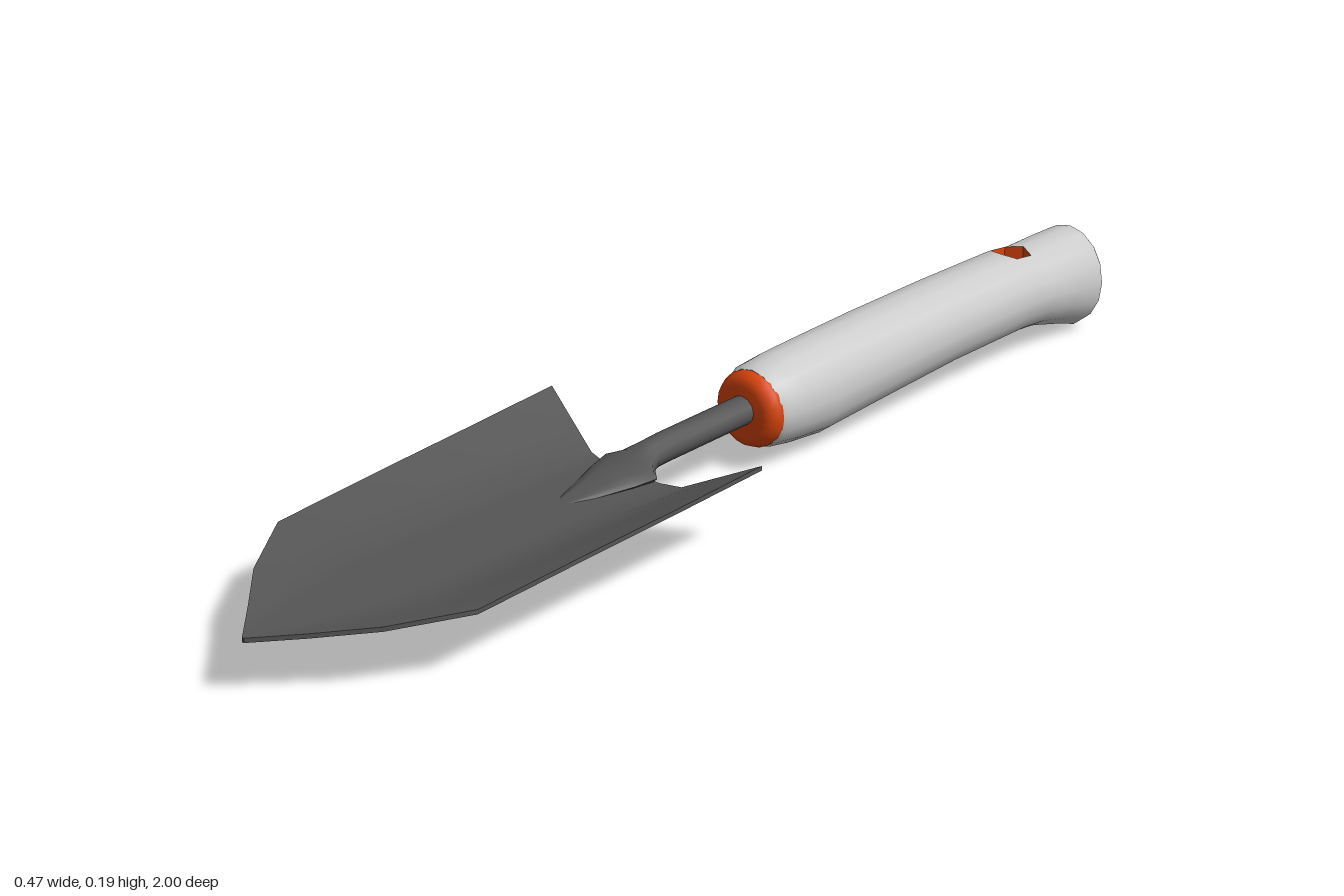
import * as THREE from 'three';
import { toCreasedNormals } from 'three/addons/utils/BufferGeometryUtils.js';

const grey = new THREE.MeshStandardMaterial({ color: 0xcccccc });
const steel = new THREE.MeshStandardMaterial({ color: 0x555555 });
const orange = new THREE.MeshStandardMaterial({ color: 0xd8440c });
const orangeLiner = new THREE.MeshStandardMaterial({ color: 0xd8440c, side: THREE.DoubleSide });

// Skins closed rings that run from back to front, each counterclockwise seen
// from the front. Faces that touch a vertex marked as open are left out.
function loft(rings, { caps = true, crease = 0.7, open = () => false } = {}) {
  const n = rings[0].length;
  const index = [];
  const quad = (corners) => {
    for (let k = 2; k < corners.length; k++) index.push(corners[0], corners[k - 1], corners[k]);
  };
  for (let i = 0; i < rings.length - 1; i++) {
    for (let j = 0; j < n; j++) {
      const j2 = (j + 1) % n;
      const corners = [[i, j], [i, j2], [i + 1, j2], [i + 1, j]]
        .filter(([r, c]) => !open(r, c)).map(([r, c]) => r * n + c);
      quad(corners);
    }
  }
  if (caps) {
    const last = (rings.length - 1) * n;
    for (let j = 0; j < n / 2 - 1; j++) {
      const q = [j, j + 1, n - 2 - j, n - 1 - j];
      quad(q.map((k) => last + k));
      quad([...q].reverse());
    }
  }
  const geometry = new THREE.BufferGeometry();
  geometry.setAttribute('position', new THREE.Float32BufferAttribute(rings.flat(2), 3));
  geometry.setIndex(index);
  return toCreasedNormals(geometry, crease);
}

// Elliptical ring from z, half width, top and bottom heights
function ellipse([z, w, top, bottom], sides = 16) {
  return Array.from({ length: sides }, (_, j) => {
    const a = (j / sides) * Math.PI * 2;
    return [w * Math.cos(a), (top + bottom) / 2 + ((top - bottom) / 2) * Math.sin(a), z];
  });
}

function part(name, geometry, material) {
  const mesh = new THREE.Mesh(geometry, material);
  mesh.name = name;
  return mesh;
}

// Grip with a six-sided hanging hole passing through it vertically
function createHandle() {
  const rings = [
    [-1.0, 0.07, 0.18, 0.012],
    [-0.992, 0.077, 0.187, 0.002],
    [-0.975, 0.078, 0.188, 0.0],
    [-0.92, 0.078, 0.188, 0.018],
    [-0.855, 0.078, 0.186, 0.036],
    [-0.84, 0.078, 0.187, 0.038],
    [-0.8, 0.078, 0.192, 0.041],
    [-0.785, 0.078, 0.193, 0.041],
    [-0.6, 0.078, 0.195, 0.039],
    [-0.42, 0.078, 0.194, 0.029],
    [-0.27, 0.075, 0.191, 0.018],
    [-0.19, 0.074, 0.188, 0.026],
    [-0.145, 0.072, 0.183, 0.034],
    [-0.13, 0.066, 0.176, 0.039],
  ].map((r) => ellipse(r));
  const first = 4; // ring at the back corner of the hole
  const open = (r, c) => (r === first + 1 || r === first + 2) && (c === 4 || c === 12);

  // Hexagon corners as ring and column offsets
  const hexagon = [[0, 0], [1, -1], [2, -1], [3, 0], [2, 1], [1, 1]];
  const upper = hexagon.map(([r, c]) => rings[first + r][4 + c]);
  const lower = hexagon.map(([r, c]) => rings[first + r][12 - c]);

  const group = new THREE.Group();
  group.name = 'handle';
  group.add(
    part('grip', loft(rings, { open }), grey),
    part('hangingHoleLiner', loft([lower, upper], { caps: false }), orangeLiner),
  );
  return group;
}

// Rounded ring closing the front of the grip
function createCollar() {
  const profile = [[0.06, -0.16], [0.068, -0.134], [0.068, -0.125], [0.062, -0.112], [0.046, -0.105], [0, -0.105]]
    .map(([r, y]) => new THREE.Vector2(r, y));
  const geometry = new THREE.LatheGeometry(profile, 20).rotateX(Math.PI / 2);
  const collar = part('collar', geometry, orange);
  collar.position.y = 0.107;
  return collar;
}

// Round neck that flares and flattens into the blade
function createNeck() {
  const rings = [
    [-0.12, 0.026, 0.137, 0.086],
    [0.09, 0.026, 0.134, 0.083],
    [0.125, 0.028, 0.131, 0.082],
    [0.15, 0.04, 0.123, 0.081],
    [0.168, 0.062, 0.115, 0.081],
    [0.21, 0.052, 0.108, 0.082],
    [0.33, 0.012, 0.091, 0.084],
  ].map((r) => ellipse(r, 12));
  return part('neck', loft(rings, { crease: 1 }), steel);
}

// Thin trough-shaped blade with raised sides and a pointed front
function createBlade() {
  const thickness = 0.008;
  const half = [0.15, 0.27, 0.43, 0.7, 1];
  const columns = [...half.map((u) => -u).reverse(), 0, ...half];
  // z, half width, floor height, rise of the sides
  const rows = [
    [0.165, 0.235, 0.09, 0.065],
    [0.3, 0.232, 0.091, 0.055],
    [0.5, 0.228, 0.093, 0.045],
    [0.73, 0.223, 0.096, 0.031],
    [0.85, 0.145, 0.099, 0.017],
    [0.93, 0.068, 0.101, 0.007],
    [1.0, 0.002, 0.104, 0],
  ];
  const rings = rows.map(([z, w, floor, rise], i) => {
    const edge = (u, drop) => {
      const a = Math.abs(u);
      const sweep = i === 0 ? 0.057 * Math.max(0, (a - 0.27) / 0.73) : 0;
      return [u * w, floor + rise * Math.max(0, (a - 0.43) / 0.57) - drop, z - sweep];
    };
    return [
      ...columns.map((u) => edge(u, thickness)),
      ...[...columns].reverse().map((u) => edge(u, 0)),
    ];
  });
  return part('blade', loft(rings, { crease: 0.6 }), steel);
}

export function createModel() {
  const model = new THREE.Group();
  model.name = 'handTrowel';
  model.add(createHandle(), createCollar(), createNeck(), createBlade());
  return model;
}
